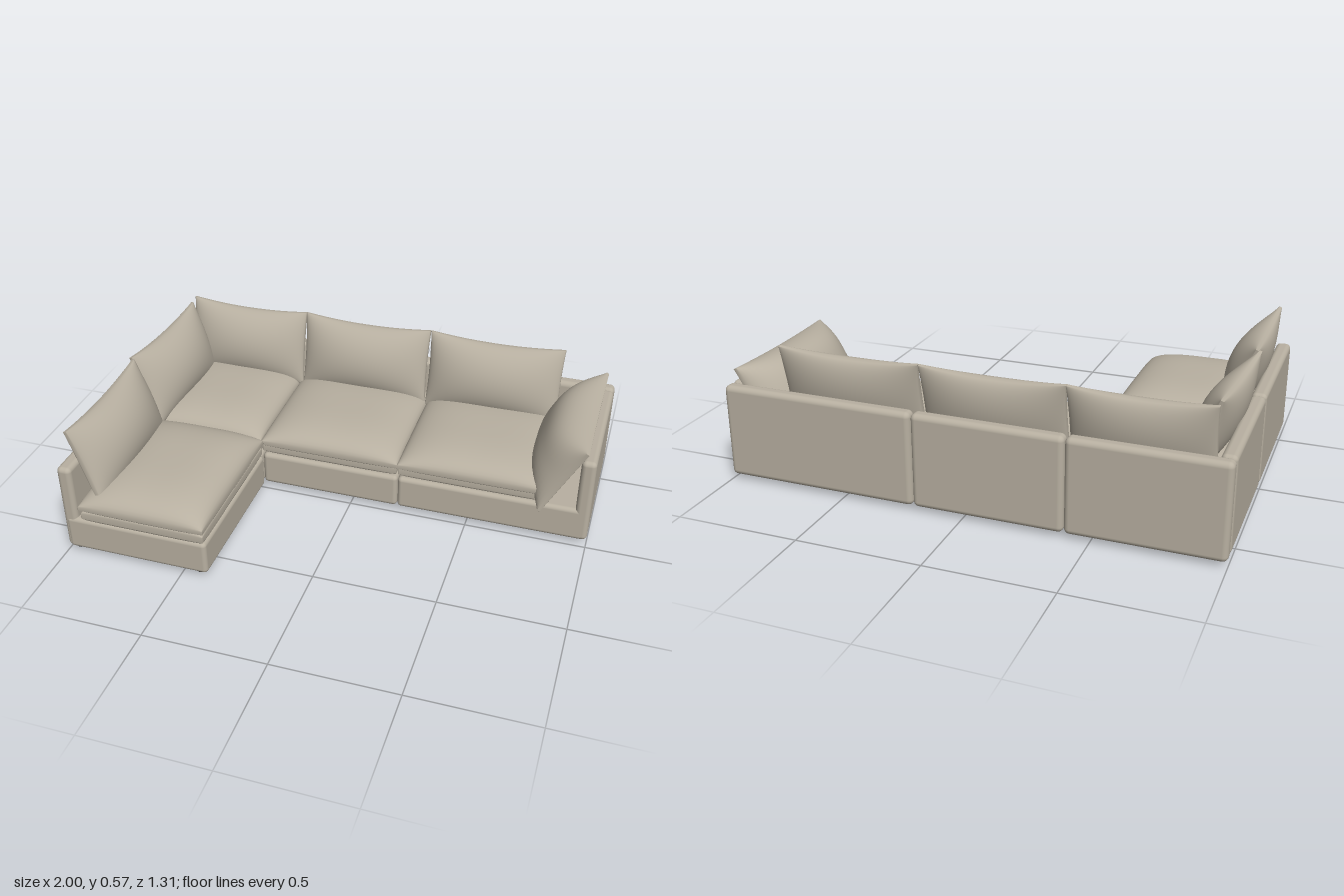
import * as THREE from 'three';
import { RoundedBoxGeometry } from 'three/addons/geometries/RoundedBoxGeometry.js';
import { mergeVertices } from 'three/addons/utils/BufferGeometryUtils.js';

const fabric = new THREE.MeshStandardMaterial({ color: 0xb8b0a1 });
fabric.name = 'warm grey fabric';
const footMat = new THREE.MeshStandardMaterial({ color: 0x3c3a38 });
footMat.name = 'dark foot';

// Soft rounded block given by its extents
function block(name, x0, x1, y0, y1, z0, z1, r = 0.018) {
  const g = new RoundedBoxGeometry(x1 - x0, y1 - y0, z1 - z0, 4, r);
  const m = new THREE.Mesh(g, fabric);
  m.name = name;
  m.position.set((x0 + x1) / 2, (y0 + y1) / 2, (z0 + z1) / 2);
  return m;
}

// Stuffed cushion: half width w, half height h, bulging to +z by front and to -z by back.
// p and q set how boxy the bulge is; pinchX and pinchY pull the edges in between the corners.
function cushion(name, { w, h, front, back, p = 2, q = 0.6, pinchX = 0, pinchY = 0, rim = 0.006 }) {
  const n = 26;
  let g = new THREE.BoxGeometry(2, 2, 2, n, n, 1);
  g.deleteAttribute('uv');
  g.deleteAttribute('normal');
  g = mergeVertices(g);
  const pos = g.attributes.position;
  for (let i = 0; i < pos.count; i++) {
    const u = Math.sin(pos.getX(i) * Math.PI / 2);
    const v = Math.sin(pos.getY(i) * Math.PI / 2);
    const s = pos.getZ(i);
    const fill = Math.max(0, (1 - Math.abs(u) ** p) * (1 - Math.abs(v) ** p)) ** q;
    pos.setXYZ(i,
      w * u * (1 - pinchX * (1 - v * v)),
      h * v * (1 - pinchY * (1 - u * u)),
      s * (rim + (s > 0 ? front : back) * fill));
  }
  g.computeVertexNormals();
  const m = new THREE.Mesh(g, fabric);
  m.name = name;
  return m;
}

// Seat made of a thin lower pad and a domed upper pad
function seat(name, x0, x1, z0, z1, rimY, dome) {
  const group = new THREE.Group();
  group.name = name;
  const w = (x1 - x0) / 2, h = (z1 - z0) / 2;
  const lower = cushion('lowerPad', { w: w - 0.004, h: h - 0.008, front: 0.03, back: 0.022, p: 8, q: 0.4, rim: 0.012 });
  lower.position.y = 0.197;
  const upper = cushion('upperPad', { w, h, front: dome, back: 0.03, p: 3.2, q: 0.5, rim: 0.008 });
  upper.position.y = rimY;
  for (const pad of [lower, upper]) {
    pad.rotation.x = -Math.PI / 2;
    group.add(pad);
  }
  group.position.set((x0 + x1) / 2, 0, (z0 + z1) / 2);
  return group;
}

// Leaning pillow; yaw turns its face from +z
function pillow(name, x, y, z, yaw, lean, shape) {
  const m = cushion(name, { h: 0.17, front: 0.085, back: 0.055, pinchX: 0.02, pinchY: 0.1, ...shape });
  m.position.set(x, y, z);
  m.rotation.set(-lean, yaw, 0, 'YXZ');
  return m;
}

export function createModel() {
  const root = new THREE.Group();
  root.name = 'sectionalSofa';

  // Bases of the back row and the chaise
  const base = 0.168;
  root.add(
    block('cornerBase', -0.99, -0.401, 0.02, base, -0.62, -0.012),
    block('middleBase', -0.399, 0.199, 0.02, base, -0.62, -0.012),
    block('endBase', 0.201, 0.99, 0.02, base, -0.62, -0.012),
    block('chaiseBase', -0.99, -0.39, 0.02, base, -0.006, 0.635));

  // Back panels and side panels
  root.add(
    block('cornerBack', -1, -0.401, 0.02, 0.402, -0.655, -0.595, 0.022),
    block('middleBack', -0.399, 0.199, 0.02, 0.402, -0.655, -0.595, 0.022),
    block('endBack', 0.201, 1, 0.02, 0.402, -0.655, -0.595, 0.022),
    block('cornerSide', -1, -0.94, 0.02, 0.402, -0.596, -0.012, 0.02),
    block('chaiseSide', -1, -0.94, 0.02, 0.402, -0.008, 0.632, 0.02),
    block('endArm', 0.94, 1, 0.02, 0.402, -0.596, -0.012, 0.02));

  // Seats
  root.add(
    seat('cornerSeat', -0.94, -0.402, -0.6, -0.005, 0.23, 0.075),
    seat('middleSeat', -0.402, 0.198, -0.6, -0.01, 0.225, 0.075),
    seat('endSeat', 0.198, 0.83, -0.6, -0.01, 0.225, 0.075),
    seat('chaiseSeat', -0.915, -0.388, 0.002, 0.652, 0.238, 0.085));

  // Pillows along the back
  for (const [name, x0, x1] of [
    ['cornerBackPillow', -0.925, -0.382], ['middleBackPillow', -0.382, 0.19], ['endBackPillow', 0.193, 0.78]]) {
    root.add(pillow(name, (x0 + x1) / 2, 0.405, -0.54, 0, 0.22, { w: (x1 - x0) / 2 }));
  }

  // Pillows along the left-hand run and over the arm
  const quarter = Math.PI / 2;
  root.add(
    pillow('cornerSidePillow', -0.89, 0.405, -0.245, quarter - 0.07, 0.3, { w: 0.275 }),
    pillow('chaisePillow', -0.89, 0.405, 0.32, quarter, 0.33, { w: 0.29, front: 0.09 }),
    pillow('armPillow', 0.88, 0.312, -0.298, -quarter, 0.49,
      { w: 0.322, h: 0.175, front: 0.135, back: 0.015, p: 3, q: 0.6, pinchY: 0.04 }));

  // Feet under the corners of each module
  const footGeo = new THREE.CylinderGeometry(0.02, 0.017, 0.026, 16);
  const modules = [
    [-0.965, -0.435, -0.55, -0.04], [-0.37, 0.16, -0.55, -0.07],
    [0.22, 0.95, -0.55, -0.07], [-0.965, -0.435, 0.018, 0.59]];
  for (const [x0, x1, z0, z1] of modules) {
    for (const x of [x0, x1]) for (const z of [z0, z1]) {
      const foot = new THREE.Mesh(footGeo, footMat);
      foot.name = 'foot';
      foot.position.set(x, 0.013, z);
      root.add(foot);
    }
  }
  return root;
}
